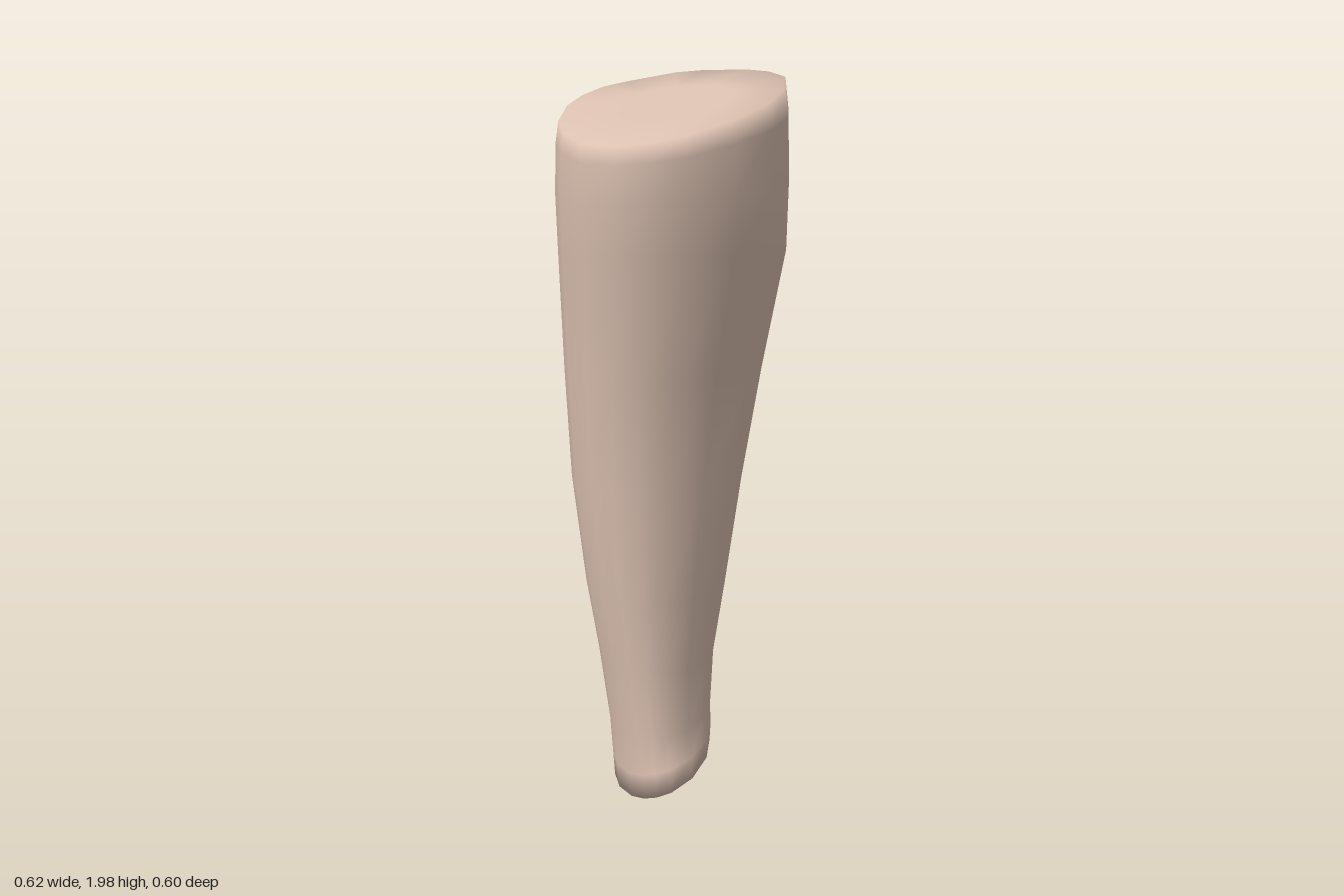
import * as THREE from 'three';

// Cross-section outline (x, z) at the wide upper end, scaled to about -1..1
const OUTLINE = [
  [-1, 0.2], [-0.9, 0.63], [-0.68, 0.87], [-0.42, 0.98], [-0.1, 1], [0.32, 0.84],
  [0.68, 0.58], [0.9, 0.26], [1, -0.1], [0.92, -0.37], [0.77, -0.58], [0.42, -0.86],
  [0.19, -0.97], [-0.26, -1], [-0.5, -0.98], [-0.71, -0.83], [-0.87, -0.6], [-1, -0.17],
];

// Rings from bottom to top: height, x min, x max, z min, z max, tilt along x, tilt along z
const RINGS = [
  [0.085, -0.165, 0.1, -0.27, 0.18, 0.5, 0],
  [0.14, -0.17, 0.105, -0.255, 0.165, 0.4, 0],
  [0.22, -0.178, 0.105, -0.235, 0.147, 0.2, 0],
  [0.4, -0.207, 0.115, -0.243, 0.153, 0, 0],
  [0.6, -0.24, 0.15, -0.258, 0.163, 0, 0],
  [0.9, -0.275, 0.198, -0.285, 0.183, 0, 0],
  [1.2, -0.291, 0.25, -0.294, 0.212, 0, 0],
  [1.52, -0.305, 0.307, -0.298, 0.278, 0, 0],
  [1.68, -0.31, 0.31, -0.3, 0.3, 0.06, -0.08],
  [1.83, -0.306, 0.308, -0.3, 0.3, 0.16, -0.22],
  [1.895, -0.298, 0.298, -0.292, 0.297, 0.2, -0.27],
];

function limbGeometry() {
  const n = OUTLINE.length;
  const last = RINGS.length - 1;
  const positions = [];
  const index = [];

  // Adds one tilted ring, rounder toward the narrow end; scale shrinks it about its middle
  function addRing([y, x0, x1, z0, z1, tiltX, tiltZ], round, scale = 1) {
    const first = positions.length / 3;
    for (const [ox, oz] of OUTLINE) {
      const a = Math.atan2(oz, ox);
      const u = THREE.MathUtils.lerp(ox, Math.cos(a), round) * scale;
      const v = THREE.MathUtils.lerp(oz, Math.sin(a), round) * scale;
      const x = (x0 + x1) / 2 + (u * (x1 - x0)) / 2;
      const z = (z0 + z1) / 2 + (v * (z1 - z0)) / 2;
      positions.push(x, Math.max(0, y + tiltX * x + tiltZ * z), z);
    }
    return first;
  }

  // Joins two rings, the second one lying above or inside the first
  function bridge(lower, upper) {
    for (let i = 0; i < n; i++) {
      const j = (i + 1) % n;
      index.push(lower + i, lower + j, upper + j, lower + i, upper + j, upper + i);
    }
  }

  // Side wall
  const starts = RINGS.map((ring, k) => addRing(ring, 1 - k / last));
  for (let k = 0; k < last; k++) bridge(starts[k], starts[k + 1]);

  // Sloping end faces share the rim, so the shading runs over the edge
  const topInner = addRing(RINGS[last], 0, 0.5);
  bridge(starts[last], topInner);
  const topCentre = addRing(RINGS[last], 0, 0);
  bridge(topInner, topCentre);
  const bottomInner = addRing(RINGS[0], 1, 0.5);
  bridge(bottomInner, starts[0]);
  const bottomCentre = addRing(RINGS[0], 1, 0);
  bridge(bottomCentre, bottomInner);

  const geometry = new THREE.BufferGeometry();
  geometry.setAttribute('position', new THREE.Float32BufferAttribute(positions, 3));
  geometry.setIndex(index);
  geometry.computeVertexNormals();

  // The coincident centre points take the plane normal of their end face
  const normal = geometry.attributes.normal;
  const up = new THREE.Vector3(-0.2, 1, 0.27).normalize();
  const down = new THREE.Vector3(0.5, -1, 0).normalize();
  for (let i = 0; i < n; i++) {
    normal.setXYZ(topCentre + i, up.x, up.y, up.z);
    normal.setXYZ(bottomCentre + i, down.x, down.y, down.z);
  }
  return geometry;
}

export function createModel() {
  const group = new THREE.Group();
  group.name = 'limbSegment';
  const skin = new THREE.MeshStandardMaterial({ color: 0xd9bfaf });
  const limb = new THREE.Mesh(limbGeometry(), skin);
  limb.name = 'lowerLimb';
  group.add(limb);
  return group;
}
